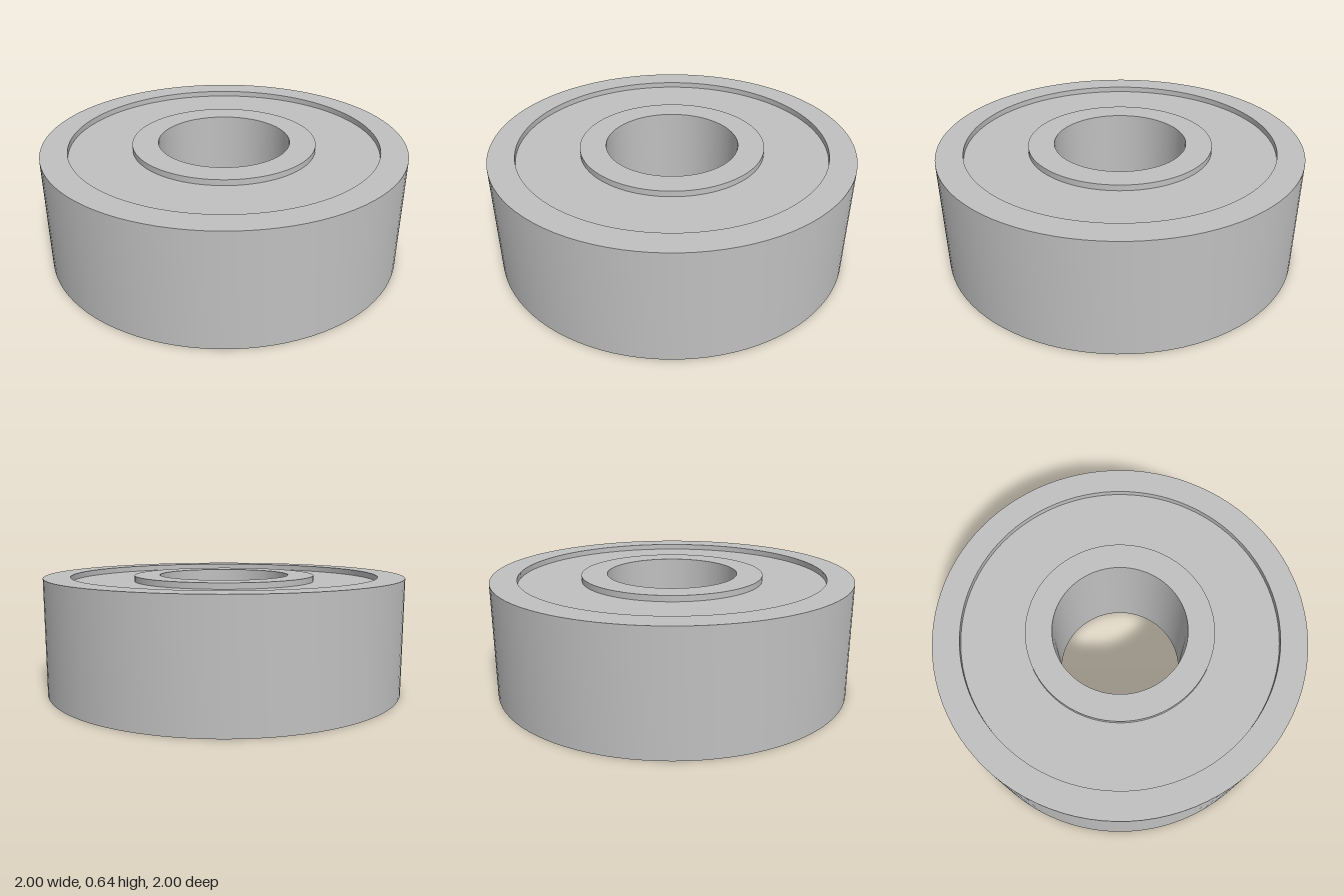
import * as THREE from 'three';
import { toCreasedNormals } from 'three/addons/utils/BufferGeometryUtils.js';

const HEIGHT = 0.636;
const RECESS = 0.032;

// Ring with a rectangular section, turned around the y axis
function ring(name, inner, outer, bottom, top, material) {
  const section = [
    [inner, bottom], [outer, bottom], [outer, top], [inner, top], [inner, bottom],
  ].map(([r, y]) => new THREE.Vector2(r, y));
  const geometry = toCreasedNormals(new THREE.LatheGeometry(section, 96), Math.PI / 6);
  const mesh = new THREE.Mesh(geometry, material);
  mesh.name = name;
  return mesh;
}

export function createModel() {
  const steel = new THREE.MeshStandardMaterial({ color: 0xc0c0c0 });
  steel.name = 'steel grey';

  const bearing = new THREE.Group();
  bearing.name = 'ballBearing';
  bearing.add(
    ring('outerRing', 0.855, 1, 0, HEIGHT, steel),
    ring('innerRing', 0.364, 0.507, 0, HEIGHT, steel),
    // Shield between the rings, recessed on both faces
    ring('shield', 0.507, 0.855, RECESS, HEIGHT - RECESS, steel),
  );
  return bearing;
}
